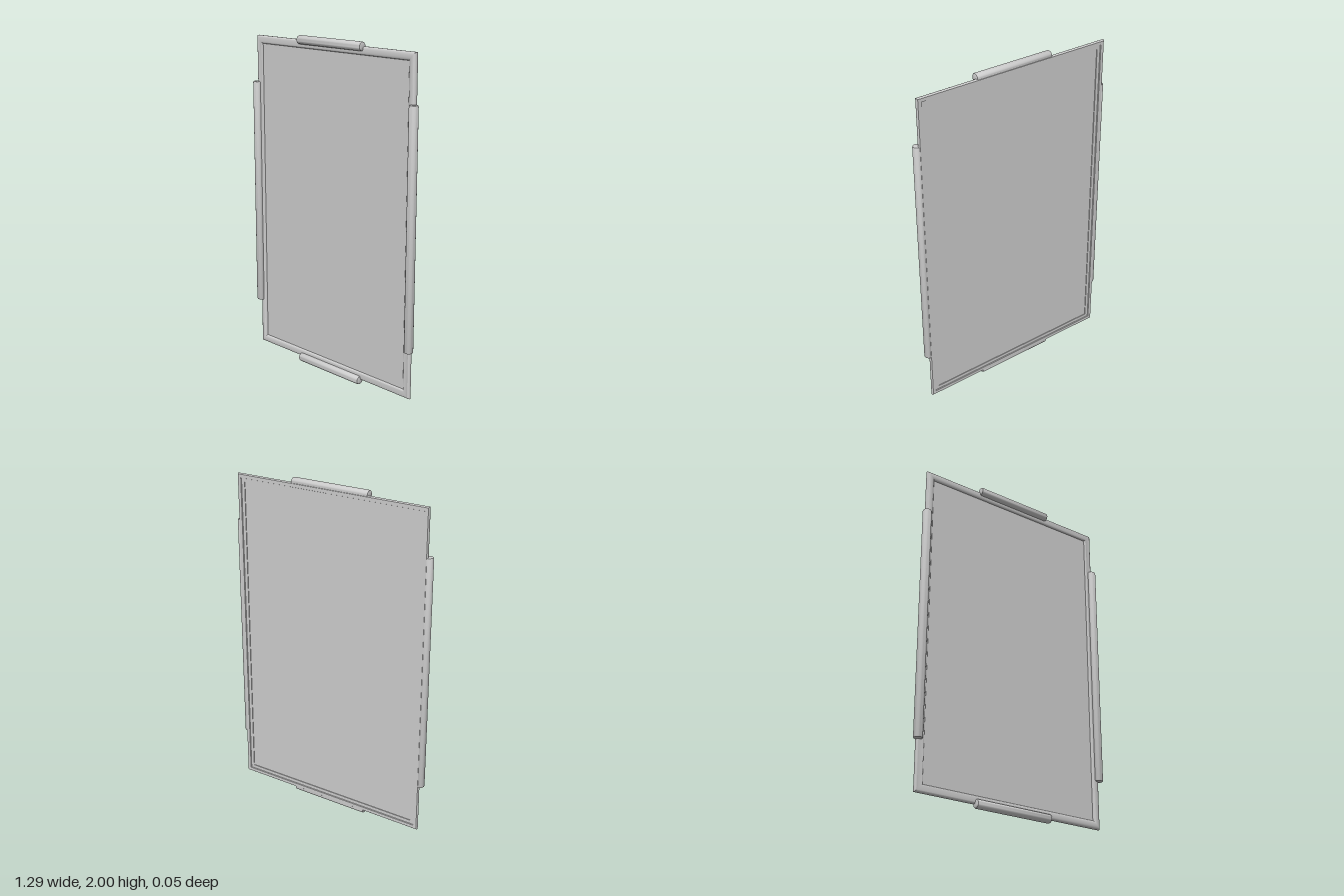
import * as THREE from 'three';
import { toCreasedNormals } from 'three/addons/utils/BufferGeometryUtils.js';

const W = 0.622, H = 0.973, CY = 1; // frame half width, half height, centre height

// Frame section: [distance inward from outer edge, z], rounded front, stepped back
const SECTION = [
  [0.004, -0.027], [0, -0.022], [0, -0.012], [0.003, -0.006], [0.009, -0.002], [0.017, 0],
  [0.03, 0], [0.038, -0.002], [0.044, -0.006], [0.047, -0.012], [0.047, -0.022],
  [0.026, -0.022], [0.024, -0.027], [0.004, -0.027],
];

// Sweep the section around four mitred corners
function frameGeometry() {
  const corners = [[1, -1], [1, 1], [-1, 1], [-1, -1]];
  const n = SECTION.length, pos = [], index = [];
  for (const [sx, sy] of corners) {
    for (const [d, z] of SECTION) pos.push(sx * (W - d), CY + sy * (H - d), z);
  }
  for (let k = 0; k < 4; k++) {
    for (let i = 0; i < n - 1; i++) {
      const a = k * n + i, b = ((k + 1) % 4) * n + i;
      index.push(a, b, b + 1, a, b + 1, a + 1);
    }
  }
  const g = new THREE.BufferGeometry();
  g.setAttribute('position', new THREE.Float32BufferAttribute(pos, 3));
  g.setIndex(index);
  return toCreasedNormals(g, 0.7);
}

// Rounded-end bar standing along y
function gripGeometry(length, r) {
  const h = length / 2, e = 0.008;
  const pts = [[0, -h], [r - e, -h], [r - e * 0.3, -h + e * 0.3], [r, -h + e],
    [r, h - e], [r - e * 0.3, h - e * 0.3], [r - e, h], [0, h]];
  return toCreasedNormals(new THREE.LatheGeometry(pts.map(p => new THREE.Vector2(...p)), 24), 0.7);
}

export function createModel() {
  const group = new THREE.Group();
  const grey = new THREE.MeshStandardMaterial({ color: 0xcccccc });
  grey.name = 'light grey';

  const add = (name, geometry, x = 0, y = 0, z = 0) => {
    const mesh = new THREE.Mesh(geometry, grey);
    mesh.name = name;
    mesh.position.set(x, y, z);
    group.add(mesh);
    return mesh;
  };

  add('frame', frameGeometry());

  // Thin sheet held inside the frame
  add('panel', new THREE.BoxGeometry(2 * (W - 0.04), 2 * (H - 0.04), 0.006), 0, CY, -0.015);

  // Bars clipped over the middle of each edge
  const sideGrip = gripGeometry(1.39, 0.026);
  const endGrip = gripGeometry(0.5, 0.026).rotateZ(Math.PI / 2);
  for (const s of [1, -1]) {
    add(s > 0 ? 'leftGrip' : 'rightGrip', sideGrip, s * 0.619, 1.005, 0);
    add(s > 0 ? 'topGrip' : 'bottomGrip', endGrip, 0, CY + s * 0.974, 0);
  }
  return group;
}
